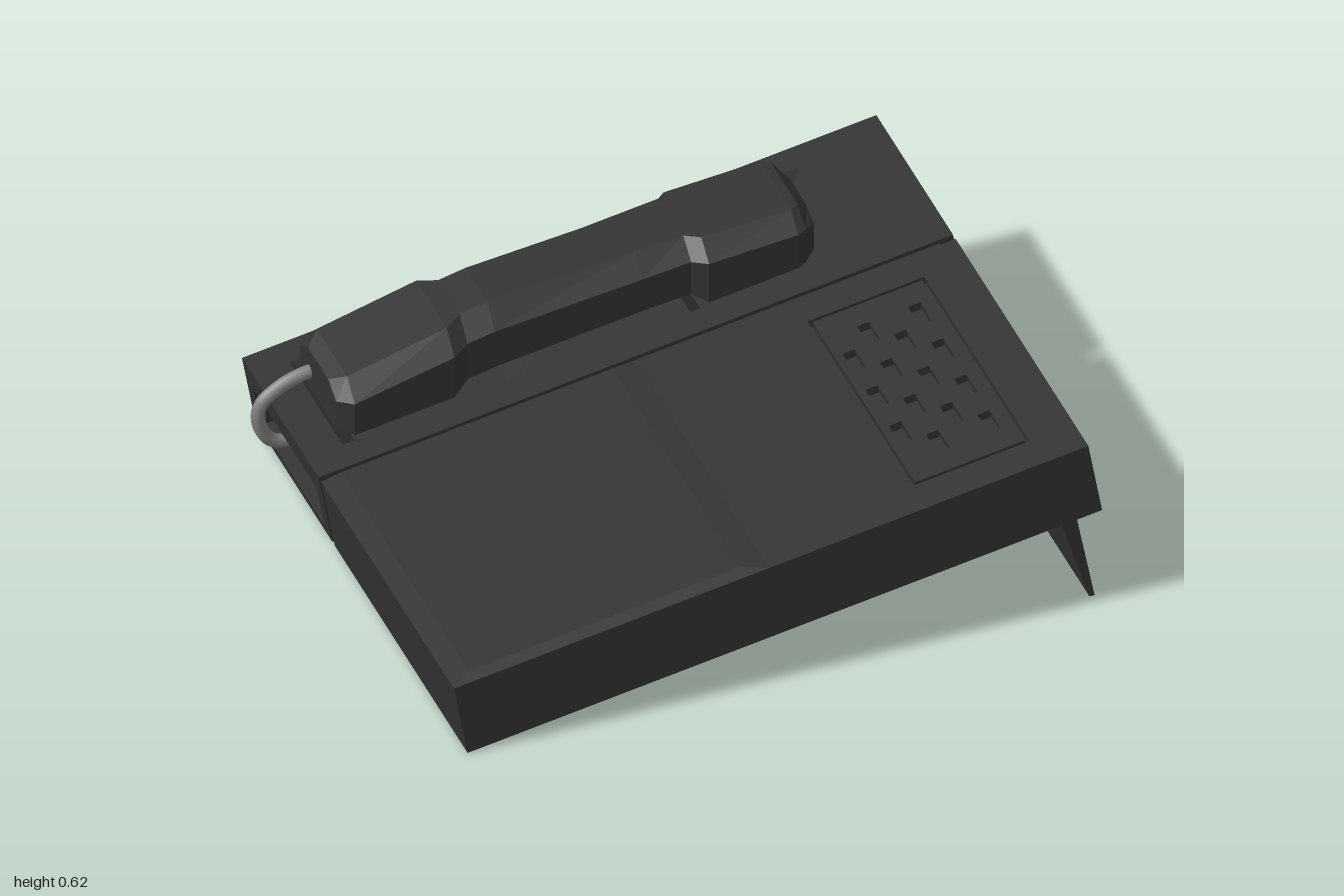
import * as THREE from 'three';

const dark = new THREE.MeshStandardMaterial({ color: 0x333333, flatShading: true });
const darkThin = new THREE.MeshStandardMaterial({ color: 0x333333, flatShading: true, side: THREE.DoubleSide });
const grey = new THREE.MeshStandardMaterial({ color: 0x808080 });

// Body frame: u along the sloping top, v square to it, z as in the model
const L = 1.872, H = 0.233, TILT = 0.172;
const DROP = L * Math.tan(TILT);
const BACK = -0.795, FRONT = 0.795;

function part(parent, name, geometry, material = dark) {
  const mesh = new THREE.Mesh(geometry, material);
  mesh.name = name;
  parent.add(mesh);
  return mesh;
}

// Side profile in (u, v), swept from z0 to z1
function sweep(points, z0, z1) {
  const shape = new THREE.Shape(points.map(([u, v]) => new THREE.Vector2(u, v)));
  return new THREE.ExtrudeGeometry(shape, { depth: z1 - z0, bevelEnabled: false }).translate(0, 0, z0);
}

function rect(Type, x0, x1, y0, y1) {
  return new Type([[x0, y0], [x1, y0], [x1, y1], [x0, y1]].map(([x, y]) => new THREE.Vector2(x, y)));
}

// Flat plate with rectangular holes, each given as [u0, u1, z0, z1]
function plate([u0, u1, z0, z1], holes, v0, v1) {
  const shape = rect(THREE.Shape, u0, u1, -z1, -z0);
  for (const [a, b, c, d] of holes) shape.holes.push(rect(THREE.Path, a, b, -d, -c));
  return new THREE.ExtrudeGeometry(shape, { depth: v1 - v0, bevelEnabled: false })
    .rotateX(-Math.PI / 2).translate(0, v0, 0);
}

// Sloping walls of a rectangular well
function well([u0, u1, z0, z1], v0, v1) {
  return new THREE.CylinderGeometry(Math.SQRT1_2, Math.SQRT1_2 * 0.82, v1 - v0, 4, 1, true)
    .rotateY(Math.PI / 4)
    .scale(u1 - u0, 1, z1 - z0)
    .translate((u0 + u1) / 2, (v0 + v1) / 2, (z0 + z1) / 2);
}

// Handset lofted from six-sided sections: [x, half width, top, shoulder, bottom]
function handsetGeometry(zc) {
  const sections = [
    [-0.83, 0.135, 0.375, 0.34, 0.25],
    [-0.79, 0.172, 0.4, 0.345, 0.24],
    [-0.5, 0.172, 0.485, 0.425, 0.29],
    [-0.45, 0.14, 0.495, 0.435, 0.315],
    [-0.37, 0.14, 0.515, 0.455, 0.335],
    [0.06, 0.14, 0.57, 0.515, 0.408],
    [0.2, 0.14, 0.585, 0.535, 0.427],
    [0.24, 0.172, 0.59, 0.54, 0.41],
    [0.5, 0.172, 0.615, 0.568, 0.455],
    [0.525, 0.16, 0.615, 0.57, 0.46],
    [0.565, 0.12, 0.575, 0.555, 0.465],
  ];
  const positions = [], index = [];
  for (const [x, w, top, shoulder, bottom] of sections) {
    const t = w - 0.058;
    for (const [z, y] of [[w, bottom], [w, shoulder], [t, top], [-t, top], [-w, shoulder], [-w, bottom]])
      positions.push(x, y, zc + z);
  }
  const last = (sections.length - 1) * 6;
  for (let a = 0; a < last; a += 6)
    for (let j = 0; j < 6; j++) {
      const k = (j + 1) % 6;
      index.push(a + j, a + 6 + j, a + 6 + k, a + j, a + 6 + k, a + k);
    }
  for (let j = 1; j < 5; j++) index.push(0, j, j + 1, last, last + j + 1, last + j);
  const geometry = new THREE.BufferGeometry();
  geometry.setAttribute('position', new THREE.Float32BufferAttribute(positions, 3));
  geometry.setIndex(index);
  geometry.computeVertexNormals();
  return geometry;
}

export function createModel() {
  const root = new THREE.Group();
  root.name = 'deskTelephone';
  const body = new THREE.Group();
  body.name = 'body';
  body.position.x = -0.905;
  body.rotation.z = TILT;
  root.add(body);

  // Wedge block that carries the handset
  const T = 0.05, blockFront = -0.22;
  part(body, 'cradleBlock', sweep([[0, 0], [L, -DROP], [L, H - T], [0.1, H - T], [0.1, 0]], BACK, blockFront));
  const cradles = [[0.107, 0.655, -0.71, -0.31], [1.132, 1.609, -0.71, -0.31]];
  part(body, 'cradleTop', plate([0, L, BACK, blockFront], cradles, H - T, H));
  cradles.forEach((c) => part(body, 'cradleWell', well(c, H - T, H), darkThin));

  // Open socket bay in the left end of the block
  const bay = rect(THREE.Shape, -blockFront, -BACK, 0, H - T);
  bay.holes.push(rect(THREE.Path, 0.27, 0.745, 0.025, 0.16));
  part(body, 'socketBay', new THREE.ExtrudeGeometry(bay, { depth: 0.1, bevelEnabled: false }).rotateY(Math.PI / 2));

  // Inset web joining the block and the desk slab
  part(body, 'joiningWeb', sweep(
    [[0.04, 0.012], [L - 0.04, -DROP + 0.03], [L - 0.04, H - 0.012], [0.04, H - 0.012]], -0.23, -0.19));

  // Slab: two side rails, with a leg recess under the middle
  const S = 0.025, slabBack = -0.2, legBack = -0.15, legFront = 0.75;
  const rail = [[0, 0], [L, 0], [L, H - S], [0, H - S]];
  part(body, 'slabRail', sweep(rail, slabBack, legBack));
  part(body, 'slabRail', sweep(rail, legFront, FRONT));
  part(body, 'slabMiddle', sweep([[0, 0], [0.98, 0], [1.15, 0.04], [L - 0.03, 0.04], [L - 0.03, 0],
    [L, 0], [L, H - S], [0, H - S]], legBack, legFront));

  // Top cover with the keypad set into it
  const pad = [1.396, 1.74, -0.1, 0.69], gap = 0.01;
  part(body, 'slabTop', plate([0, L, slabBack, FRONT], [pad], H - S, H));
  const slots = [];
  for (let col = 0; col < 4; col++) {
    const u = 1.447 + col * 0.0755, rows = col % 2 ? 4 : 3;
    for (let row = 0; row < rows; row++) {
      const z = (col % 2 ? 0.035 : 0.12) + row * 0.173;
      slots.push([u - 0.018, u + 0.018, z - 0.043, z + 0.043]);
    }
  }
  part(body, 'keypad', plate([pad[0] + gap, pad[1] - gap, pad[2] + gap, pad[3] - gap], slots, H - S, H));

  // Very low writing pad with bevelled edges
  const padU = 0.93, writing = new THREE.BoxGeometry(padU, 0.006, FRONT - slabBack);
  writing.translate(padU / 2, H + 0.003, (FRONT + slabBack) / 2);
  const p = writing.attributes.position;
  for (let i = 0; i < p.count; i++) {
    if (p.getY(i) < H + 0.003) continue;
    p.setX(i, p.getX(i) < 0.1 ? 0.06 : padU - 0.07);
    if (p.getZ(i) > 0) p.setZ(i, FRONT - 0.04);
  }
  writing.computeVertexNormals();
  part(body, 'writingPad', writing);

  // Fold-out leg under the raised end
  part(body, 'foldingLeg', sweep([[1.755, 0.04], [1.798, -0.312], [1.813, -0.315], [1.808, 0.04]], legBack, legFront));

  // Handset and its cord
  part(root, 'handset', handsetGeometry(-0.52));
  const cord = new THREE.CatmullRomCurve3([[-0.8, 0.305], [-0.86, 0.295], [-0.92, 0.27], [-0.972, 0.225],
    [-0.978, 0.17], [-0.955, 0.115], [-0.92, 0.09], [-0.8, 0.095]].map(([x, y]) => new THREE.Vector3(x, y, -0.585)));
  part(root, 'cord', new THREE.TubeGeometry(cord, 40, 0.02, 10), grey);

  return root;
}
